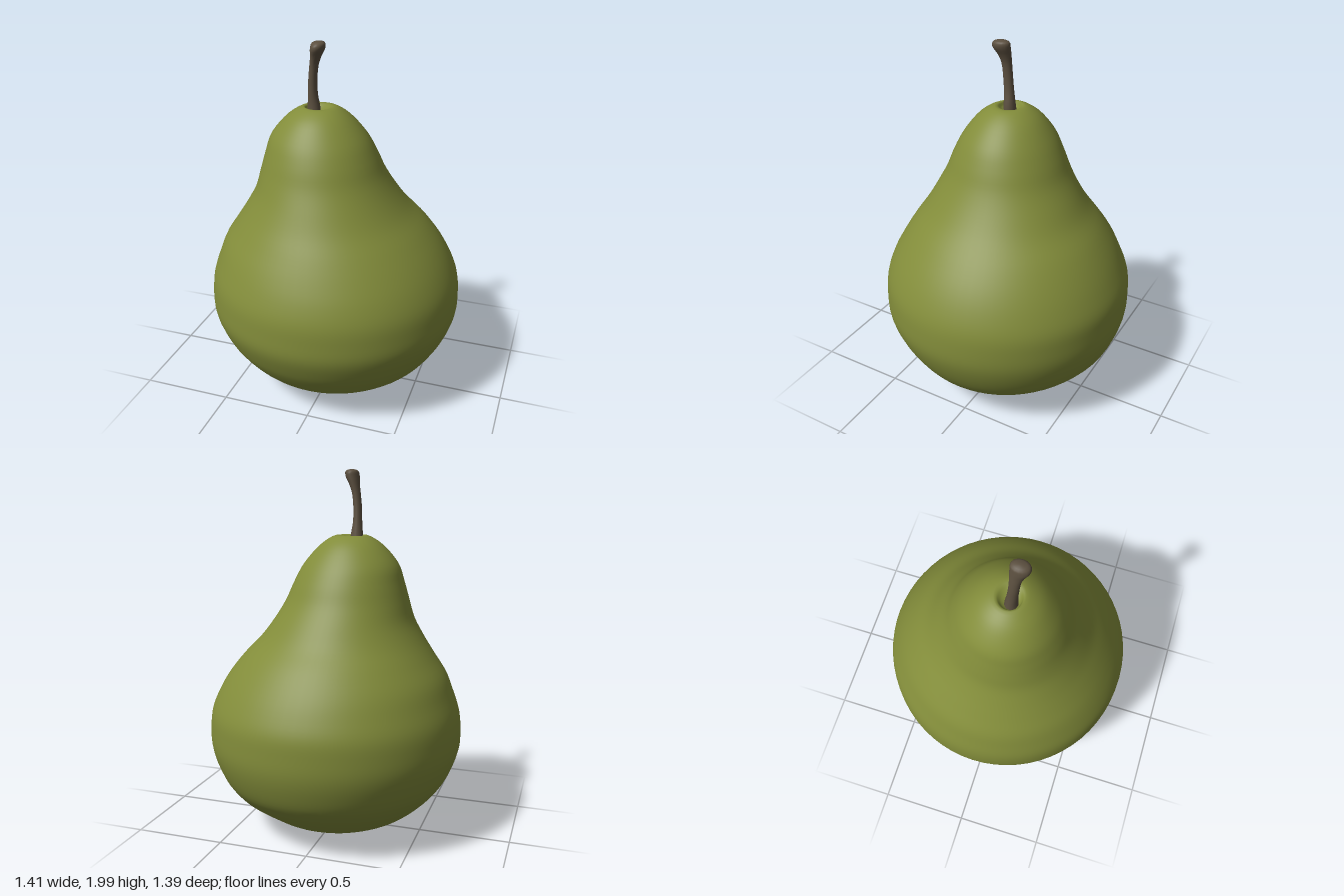
import * as THREE from 'three';
import { mergeVertices } from 'three/addons/utils/BufferGeometryUtils.js';

// Smooth skin over horizontal rings, bottom to top: [y, centreX, centreZ, radiusX, radiusZ]
function loft(rings, sides, stepsPerRing, bend) {
  const spline = (pts) => new THREE.CatmullRomCurve3(pts, false, 'catmullrom', 0.5);
  const centres = spline(rings.map(([y, x, z]) => new THREE.Vector3(x, y, z)));
  const radii = spline(rings.map(([, , , rx, rz]) => new THREE.Vector3(rx, 0, rz)));
  const rows = (rings.length - 1) * stepsPerRing;
  const positions = [], index = [];
  for (let i = 0; i <= rows; i++) {
    const c = centres.getPoint(i / rows), r = radii.getPoint(i / rows);
    for (let j = 0; j < sides; j++) {
      const a = (j / sides) * Math.PI * 2;
      const p = new THREE.Vector3(
        c.x + Math.max(0, r.x) * Math.cos(a), c.y, c.z + Math.max(0, r.z) * Math.sin(a));
      if (bend) bend(p);
      positions.push(p.x, p.y, p.z);
      if (i < rows) {
        const k = i * sides + j, n = i * sides + (j + 1) % sides;
        index.push(k, k + sides, n, n, k + sides, n + sides);
      }
    }
  }
  const geometry = new THREE.BufferGeometry();
  geometry.setAttribute('position', new THREE.Float32BufferAttribute(positions, 3));
  geometry.setIndex(index);
  const merged = mergeVertices(geometry, 1e-5);
  merged.computeVertexNormals();
  return merged;
}

function addPart(group, name, geometry, color) {
  const mesh = new THREE.Mesh(geometry, new THREE.MeshStandardMaterial({ color }));
  mesh.name = name;
  group.add(mesh);
  return mesh;
}

export function createModel() {
  const group = new THREE.Group();
  group.name = 'pear';

  // Underside hollow, round belly, leaning neck, small hollow at the stem
  const bodyRings = [
    [0.10, 0, 0, 0, 0],
    [0.09, 0, 0, 0.07, 0.07],
    [0.05, 0, 0, 0.13, 0.13],
    [0.02, 0, 0, 0.20, 0.20],
    [0.05, 0.02, -0.02, 0.31, 0.31],
    [0.11, 0.01, -0.02, 0.425, 0.41],
    [0.20, 0.01, -0.015, 0.54, 0.525],
    [0.30, 0, -0.01, 0.62, 0.61],
    [0.40, 0, -0.005, 0.67, 0.66],
    [0.50, 0, 0, 0.70, 0.69],
    [0.60, 0, 0, 0.703, 0.693],
    [0.70, 0, 0, 0.69, 0.685],
    [0.80, -0.003, 0.003, 0.653, 0.648],
    [0.90, -0.013, 0.005, 0.603, 0.595],
    [1.00, -0.02, 0.01, 0.53, 0.53],
    [1.10, -0.035, 0.02, 0.45, 0.455],
    [1.20, -0.045, 0.025, 0.385, 0.395],
    [1.30, -0.06, 0.03, 0.34, 0.34],
    [1.40, -0.068, 0.033, 0.303, 0.298],
    [1.50, -0.078, 0.035, 0.258, 0.245],
    [1.60, -0.08, 0.035, 0.17, 0.165],
    [1.65, -0.08, 0.035, 0.085, 0.08],
    [1.625, -0.10, 0.045, 0.045, 0.045],
    [1.60, -0.105, 0.05, 0, 0],
  ];
  // The base sits slightly tilted
  const tiltBase = (p) => {
    p.y += (0.045 * p.x - 0.065 * p.z) * Math.max(0, 1 - p.y / 0.3);
  };
  addPart(group, 'body', loft(bodyRings, 64, 4, tiltBase), 0x828c3a);

  // Curved stem, swelling into a knob at the tip
  const stemRings = [
    [1.59, -0.107, 0.05, 0.04, 0.038],
    [1.65, -0.104, 0.05, 0.034, 0.032],
    [1.72, -0.106, 0.055, 0.025, 0.028],
    [1.80, -0.104, 0.06, 0.023, 0.027],
    [1.87, -0.096, 0.063, 0.023, 0.029],
    [1.92, -0.083, 0.069, 0.028, 0.038],
    [1.96, -0.070, 0.079, 0.037, 0.050],
    [1.99, -0.066, 0.077, 0.032, 0.043],
    [2.00, -0.066, 0.075, 0, 0],
  ];
  addPart(group, 'stem', loft(stemRings, 16, 3), 0x5c5040);

  // Dried blossom remnant in the underside hollow
  const blossom = addPart(group, 'blossomEnd', new THREE.SphereGeometry(0.06, 16, 12), 0x5e5a34);
  blossom.position.set(0, 0.08, 0);
  blossom.scale.set(1, 0.9, 1);

  return group;
}
